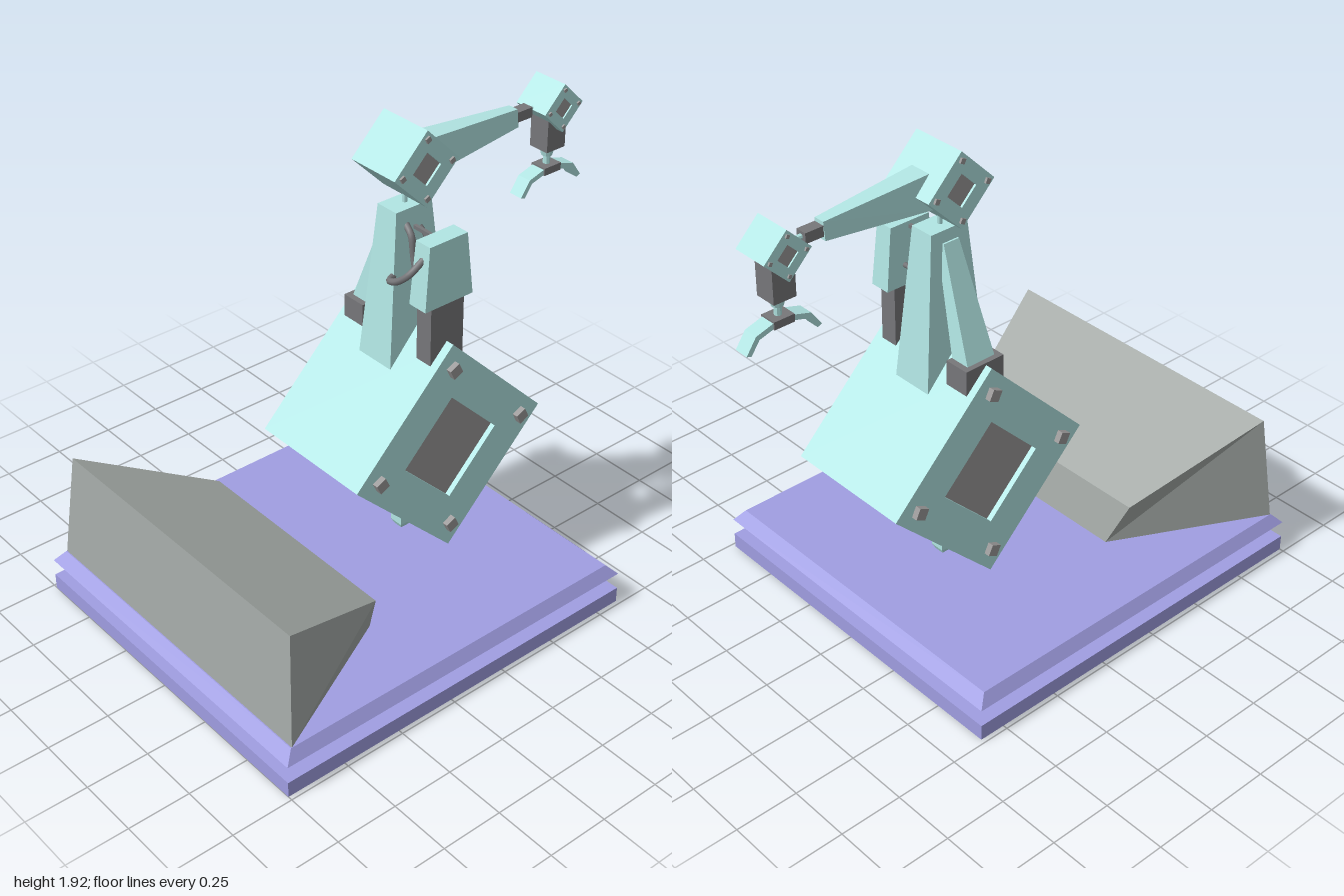
import * as THREE from 'three';

const TEAL = 0xb2e6e4, DARK = 0x77777a, PANEL = 0x9c9a9a, GREY = 0xa4aaa7, PURPLE = 0xa09ee2;
const AXIS_Z = -0.143; // depth of the main arm axis
const WRIST_Z = -0.845;

function mat(color, opts = {}) {
  return new THREE.MeshStandardMaterial({ color, flatShading: true, ...opts });
}

function add(parent, name, geometry, material, x = 0, y = 0, z = 0) {
  const mesh = new THREE.Mesh(geometry, material);
  mesh.name = name;
  mesh.position.set(x, y, z);
  parent.add(mesh);
  return mesh;
}

// Rectangle in a level plane, counter-clockwise from above; hx2 narrows the +z side
function rect(cx, y, cz, hx, hz, hx2 = hx) {
  return [[cx + hx2, y, cz + hz], [cx + hx, y, cz - hz], [cx - hx, y, cz - hz], [cx - hx2, y, cz + hz]];
}

// Skin over four-cornered rings, ordered from bottom to top
function loft(rings, closedBottom = true) {
  const pos = [];
  const quad = (a, b, c, d) => [a, b, c, a, c, d].forEach((p) => pos.push(...p));
  for (let r = 0; r < rings.length - 1; r++) {
    for (let i = 0; i < 4; i++) {
      const j = (i + 1) % 4;
      quad(rings[r][i], rings[r][j], rings[r + 1][j], rings[r + 1][i]);
    }
  }
  quad(...rings[rings.length - 1]);
  if (closedBottom) quad(...[...rings[0]].reverse());
  const g = new THREE.BufferGeometry();
  g.setAttribute('position', new THREE.Float32BufferAttribute(pos, 3));
  g.computeVertexNormals();
  return g;
}

function box(w, h, d) {
  return new THREE.BoxGeometry(w, h, d);
}

// Cube standing on its edge, with a sunken panel and four bolts on each side
function joint(name, y, z, hx, diag, panelDiag, boltOffset, boltSize, boltOut) {
  const g = new THREE.Group();
  g.name = name;
  g.position.set(0, y, z);
  const diamond = (Type, d) => new Type([[d, 0], [0, d], [-d, 0], [0, -d]].map((p) => new THREE.Vector2(...p)));
  const shape = diamond(THREE.Shape, diag);
  shape.holes.push(diamond(THREE.Path, panelDiag));
  const shell = new THREE.ExtrudeGeometry(shape, { depth: hx * 2, bevelEnabled: false });
  shell.translate(0, 0, -hx).rotateY(Math.PI / 2);
  add(g, name + 'Shell', shell, mat(TEAL));
  const side = panelDiag * Math.SQRT2;
  add(g, name + 'Panel', box(hx * 1.84, side, side), mat(PANEL)).rotation.x = Math.PI / 4;
  for (const s of [-1, 1]) {
    for (let i = 0; i < 4; i++) {
      const a = (i * Math.PI) / 2;
      const bolt = add(g, name + 'Bolt', box(boltOut * 2, boltSize, boltSize), mat(PANEL),
        s * hx, Math.cos(a) * boltOffset, Math.sin(a) * boltOffset);
      bolt.rotation.x = 0.45;
    }
  }
  return g;
}

function cable(parent, points, radius) {
  const curve = new THREE.CatmullRomCurve3(points.map((p) => new THREE.Vector3(...p)));
  add(parent, 'cable', new THREE.TubeGeometry(curve, 20, radius, 8), mat(DARK, { flatShading: false }));
}

export function createModel() {
  const model = new THREE.Group();
  model.name = 'robotArmStation';

  // Stepped platform, hollow underneath
  add(model, 'platform', loft([
    rect(0, 0, 0.197, 0.732, 0.803),
    rect(0, 0.065, 0.197, 0.732, 0.803),
    rect(0, 0.065, 0.185, 0.51, 0.615),
    rect(0, 0.135, 0.185, 0.51, 0.615),
    rect(0, 0.135, 0.197, 0.732, 0.803),
    rect(0, 0.178, 0.197, 0.7, 0.762),
  ], false), mat(PURPLE, { side: THREE.DoubleSide }));

  // Sloped console at the front, open where it sits on the platform
  add(model, 'console', loft([
    [[0.7, 0.178, 0.955], [0.39, 0.178, 0.35], [-0.39, 0.178, 0.35], [-0.7, 0.178, 0.955]],
    [[0.655, 0.622, 0.915], [0.47, 0.37, 0.388], [-0.47, 0.37, 0.388], [-0.655, 0.622, 0.915]],
  ], false), mat(GREY));

  // Main body cube on its foot
  model.add(joint('body', 0.688, AXIS_Z, 0.27, 0.45, 0.223, 0.346, 0.045, 0.024));
  add(model, 'foot', loft([
    rect(0, 0.179, AXIS_Z, 0.02, 0.02),
    rect(0, 0.2, AXIS_Z, 0.03, 0.03),
    rect(0, 0.32, AXIS_Z, 0.03, 0.03),
  ]), mat(TEAL));

  // Upright column
  add(model, 'column', loft([
    rect(0, 0.99, AXIS_Z, 0.088, 0.14),
    rect(0, 1.607, AXIS_Z, 0.05, 0.083),
  ]), mat(TEAL));

  // Piston on the left of the column
  const piston = new THREE.Group();
  piston.name = 'piston';
  model.add(piston);
  add(piston, 'pistonRod', box(0.075, 0.25, 0.155), mat(DARK), 0.198, 1.18, AXIS_Z);
  add(piston, 'pistonSleeve', loft([
    rect(0.2, 1.3, AXIS_Z, 0.043, 0.112),
    rect(0.198, 1.55, AXIS_Z, 0.037, 0.088),
  ]), mat(TEAL));
  for (const y of [1.33, 1.53]) {
    add(piston, 'pistonLink', box(0.13, 0.014, 0.014), mat(DARK), 0.105, y, AXIS_Z);
  }
  cable(piston, [[0.04, 1.358, -0.07], [0.08, 1.37, -0.005], [0.135, 1.395, 0.005], [0.185, 1.44, -0.005], [0.2, 1.49, -0.06]], 0.013);
  cable(piston, [[0.04, 1.55, -0.11], [0.085, 1.52, -0.1], [0.1, 1.44, -0.1], [0.12, 1.38, -0.1], [0.17, 1.35, -0.11]], 0.013);
  cable(piston, [[0.04, 1.53, -0.17], [0.08, 1.48, -0.18], [0.11, 1.4, -0.18], [0.17, 1.38, -0.17]], 0.01);

  // Slanted brace on the right of the column
  add(model, 'braceBlock', box(0.105, 0.1, 0.175), mat(DARK), -0.188, 1.097, -0.148);
  add(model, 'brace', loft([
    rect(-0.187, 1.12, -0.148, 0.042, 0.065),
    rect(-0.042, 1.56, AXIS_Z, 0.018, 0.035),
  ]), mat(TEAL));

  // Elbow cube
  add(model, 'neck', new THREE.CylinderGeometry(0.01, 0.01, 0.07, 8), mat(TEAL), 0, 1.63, AXIS_Z);
  model.add(joint('elbow', 1.777, AXIS_Z, 0.115, 0.148, 0.065, 0.114, 0.02, 0.009));

  // Forearm, lofted upright and laid backwards
  const forearm = new THREE.Group();
  forearm.name = 'forearm';
  forearm.position.y = 1.777;
  forearm.rotation.x = -Math.PI / 2;
  model.add(forearm);
  add(forearm, 'forearmBeam', loft([
    rect(0, 0.2, 0, 0.064, 0.067, 0.046),
    rect(0, 0.66, 0, 0.03, 0.034, 0.022),
  ]), mat(TEAL));
  add(forearm, 'wristRod', box(0.046, 0.08, 0.04), mat(DARK), 0, 0.695, 0);
  add(forearm, 'wristPin', new THREE.CylinderGeometry(0.01, 0.01, 0.06, 8), mat(TEAL), 0, 0.75, 0);

  // Wrist cube
  model.add(joint('wrist', 1.777, WRIST_Z, 0.075, 0.096, 0.042, 0.073, 0.013, 0.007));

  // Gripper hanging below the wrist
  const gripper = new THREE.Group();
  gripper.name = 'gripper';
  gripper.position.set(0, -0.004, WRIST_Z);
  model.add(gripper);
  add(gripper, 'gripperMotor', box(0.09, 0.14, 0.092), mat(DARK), 0, 1.672, 0);
  add(gripper, 'gripperCollar', new THREE.CylinderGeometry(0.03, 0.022, 0.035, 10), mat(TEAL), 0, 1.585, 0);
  add(gripper, 'gripperPin', new THREE.CylinderGeometry(0.014, 0.014, 0.05, 8), mat(TEAL), 0, 1.55, 0);
  add(gripper, 'gripperPalm', box(0.07, 0.03, 0.084), mat(DARK), 0, 1.517, 0);
  const outline = [[0.035, 1.528], [0.113, 1.505], [0.155, 1.445], [0.136, 1.438], [0.1, 1.488], [0.035, 1.506]];
  const finger = new THREE.ExtrudeGeometry(
    new THREE.Shape(outline.map((p) => new THREE.Vector2(...p)).reverse()), { depth: 0.06, bevelEnabled: false });
  finger.translate(0, 0, -0.03);
  for (const s of [-1, 1]) {
    add(gripper, 'finger', finger, mat(TEAL)).rotation.y = (s * Math.PI) / 2;
  }

  return model;
}
